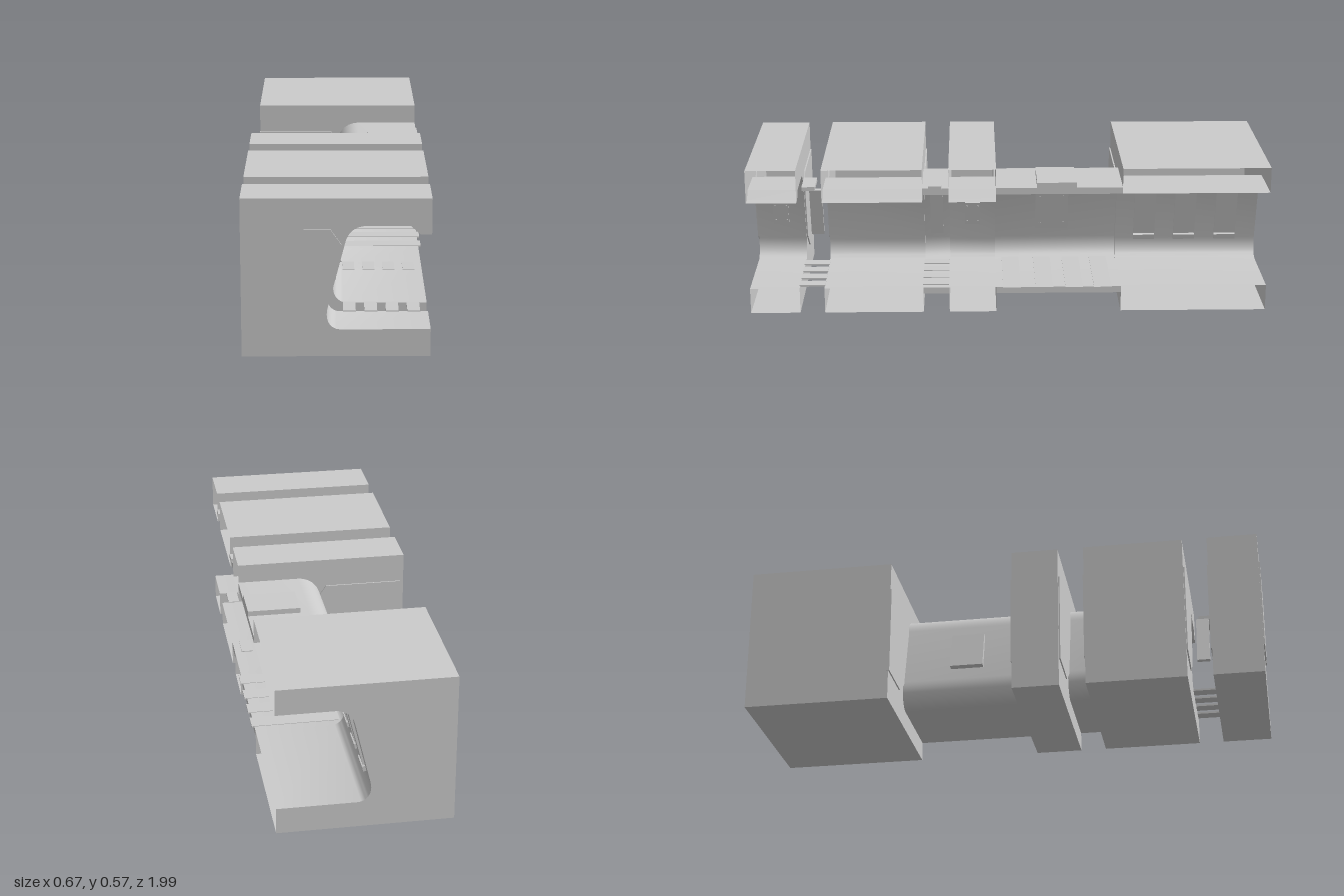
import * as THREE from 'three';
import { toCreasedNormals } from 'three/addons/utils/BufferGeometryUtils.js';

const mat = new THREE.MeshStandardMaterial({ color: 0xcccccc, side: THREE.DoubleSide });
const R = 0.325, TOP = 0.573;

// Inner wall curve of the bay, from the floor edge up to the ceiling edge
function innerCurve(deep, lip) {
  const p = new THREE.Path();
  p.moveTo(R, 0.1);
  if (deep) {
    p.lineTo(0.005, 0.1);
    p.bezierCurveTo(-0.026, 0.103, -0.046, 0.135, -0.034, 0.18);
    p.lineTo(0.028, 0.42);
    p.bezierCurveTo(0.037, 0.455, 0.065, 0.475, 0.1, 0.475);
  } else {
    p.lineTo(0.03, 0.1);
    p.bezierCurveTo(-0.002, 0.103, -0.024, 0.135, -0.012, 0.18);
    p.lineTo(0.045, 0.42);
    p.bezierCurveTo(0.055, 0.455, 0.08, 0.475, 0.115, 0.475);
  }
  if (lip) {
    p.lineTo(0.253, 0.475);
    p.lineTo(0.285, 0.445);
    p.lineTo(R, 0.445);
  } else p.lineTo(R, 0.475);
  return p.getPoints(10);
}

// Outer side of the thin liner
function linerBack() {
  const p = new THREE.Path();
  p.moveTo(R, 0.5);
  p.lineTo(0.09, 0.5);
  p.bezierCurveTo(0.045, 0.5, 0.012, 0.47, 0.002, 0.43);
  p.lineTo(-0.06, 0.18);
  p.bezierCurveTo(-0.072, 0.125, -0.045, 0.075, 0, 0.075);
  p.lineTo(R, 0.075);
  return p.getPoints(10);
}

function add(parent, geometry, name, x = 0, y = 0, z = 0) {
  const m = new THREE.Mesh(geometry, mat);
  m.name = name;
  m.position.set(x, y, z);
  parent.add(m);
  return m;
}

// Strip swept along z from an open line of points
function ribbon(points, z0, z1) {
  const v = [];
  for (let i = 0; i < points.length - 1; i++) {
    const a = points[i], b = points[i + 1];
    v.push(a.x, a.y, z0, b.x, b.y, z0, b.x, b.y, z1, a.x, a.y, z0, b.x, b.y, z1, a.x, a.y, z1);
  }
  const g = new THREE.BufferGeometry();
  g.setAttribute('position', new THREE.Float32BufferAttribute(v, 3));
  g.computeVertexNormals();
  return toCreasedNormals(g, 0.5);
}

function box(parent, name, x0, x1, y0, y1, z0, z1) {
  return add(parent, new THREE.BoxGeometry(x1 - x0, y1 - y0, z1 - z0), name,
    (x0 + x1) / 2, (y0 + y1) / 2, (z0 + z1) / 2);
}

// Box lying along the sloping wall
function wallBox(parent, name, y0, y1, z0, z1, depth, deep, shift = 0) {
  const y = (y0 + y1) / 2;
  const x = (deep ? -0.034 : -0.012) + (y - 0.18) * 0.25 + shift;
  const m = add(parent, new THREE.BoxGeometry(depth, (y1 - y0) * 1.03, z1 - z0), name, x, y, (z0 + z1) / 2);
  m.rotation.z = -0.245;
  return m;
}

// Thin raised plate on an end face
function endPanel(parent, z) {
  const s = new THREE.Shape([[-0.322, 0.115], [-0.13, 0.115], [-0.04, 0.185], [0.013, 0.41],
    [-0.023, 0.462], [-0.322, 0.462]].map(([x, y]) => new THREE.Vector2(x, y)));
  add(parent, new THREE.ExtrudeGeometry(s, { depth: 0.01, bevelEnabled: false }), 'endPanel', 0, 0, z - 0.005);
}

// Hollow C-shaped block, open at its +x ends
function block(parent, name, z0, z1, { deep = false, lip = true, left = -0.335, panels = [] }) {
  const g = new THREE.Group();
  g.name = name;
  const inner = innerCurve(deep, lip);
  const outer = [[R, TOP], [left, TOP], [left, 0], [R, 0]].map(([x, y]) => new THREE.Vector2(x, y));
  add(g, ribbon(outer, z0, z1), 'outerShell');
  add(g, ribbon(inner, z0, z1), 'innerWall');
  const shape = new THREE.Shape([...outer, ...inner]);
  add(g, new THREE.ShapeGeometry(shape), 'frontFace', 0, 0, z1);
  const back = new THREE.ShapeGeometry(shape);
  back.index.array.reverse();
  back.computeVertexNormals();
  add(g, back, 'backFace', 0, 0, z0);
  panels.forEach(z => endPanel(g, z));
  parent.add(g);
  return g;
}

// Thin curved liner between blocks
function liner(parent, z0, z1) {
  const s = new THREE.Shape([...innerCurve(true, false), ...linerBack()]);
  const g = new THREE.ExtrudeGeometry(s, { depth: z1 - z0, bevelEnabled: false });
  add(parent, toCreasedNormals(g, 0.5), 'liner', 0, 0, z0);
}

// Wall plate with four small rivets
function rivetPlate(parent, y0, y1, z0, z1, deep) {
  const plate = wallBox(parent, 'wallPlate', y0, y1, z0, z1, 0.012, deep);
  for (const sy of [-1, 1]) for (const sz of [-1, 1]) {
    const r = add(plate, new THREE.CylinderGeometry(0.004, 0.004, 0.003, 8), 'rivet',
      0.007, sy * (y1 - y0) * 0.36, sz * (z1 - z0) * 0.36);
    r.rotation.z = Math.PI / 2;
  }
}

export function createModel() {
  const model = new THREE.Group();
  model.name = 'corridorSection';

  // Four main blocks
  block(model, 'frontBlock', 0.795, 0.985, { deep: true, panels: [0.795, 0.985] });
  block(model, 'wideBlock', 0.32, 0.7, { panels: [0.32, 0.7] });
  block(model, 'narrowBlock', 0.04, 0.22, { panels: [0.04, 0.22] });
  block(model, 'rearBlock', -1, -0.44, { lip: false, left: -0.32, panels: [-0.44] });

  // Liners in the two closed gaps
  liner(model, 0.22, 0.32);
  liner(model, -0.44, 0.04);

  // Riveted plates on the walls
  rivetPlate(model, 0.25, 0.345, 0.86, 0.92, true);
  rivetPlate(model, 0.25, 0.345, 0.1, 0.16, false);
  rivetPlate(model, 0.22, 0.39, -0.25, -0.12, true);

  // Pads and floor bars in the two narrow gaps
  for (const z of [0.748, 0.272]) {
    wallBox(model, 'gapPad', 0.2, 0.4, z - 0.025, z + 0.025, 0.014, true);
    box(model, 'ceilingPad', 0.21, 0.33, 0.495, 0.51, z - 0.025, z + 0.025);
    for (let i = 0; i < 4; i++) {
      const x = 0.02 + i * 0.077;
      box(model, 'floorBar', x, x + 0.046, 0.096, 0.103, z - 0.05, z + 0.05);
    }
  }

  // Floor slats and roof plate of the middle bay
  for (const z of [-0.37, -0.26, -0.145, -0.02])
    box(model, 'floorSlat', -0.005, 0.335, 0.096, 0.102, z - 0.034, z + 0.034);
  box(model, 'roofPlate', 0.125, 0.325, 0.495, 0.52, -0.265, -0.115);
  wallBox(model, 'outerWallBox', 0.23, 0.38, -0.25, -0.12, 0.025, true, -0.035);
  wallBox(model, 'bayTrim', 0.425, 0.435, -0.43, 0.03, 0.012, true);

  // Three upright wall panels with ledges in the rear block
  for (const z of [-0.555, -0.715, -0.878]) {
    wallBox(model, 'wallSlot', 0.205, 0.425, z - 0.042, z + 0.042, 0.014, false);
    wallBox(model, 'slotLedge', 0.178, 0.198, z - 0.042, z + 0.042, 0.024, false);
  }
  return model;
}
